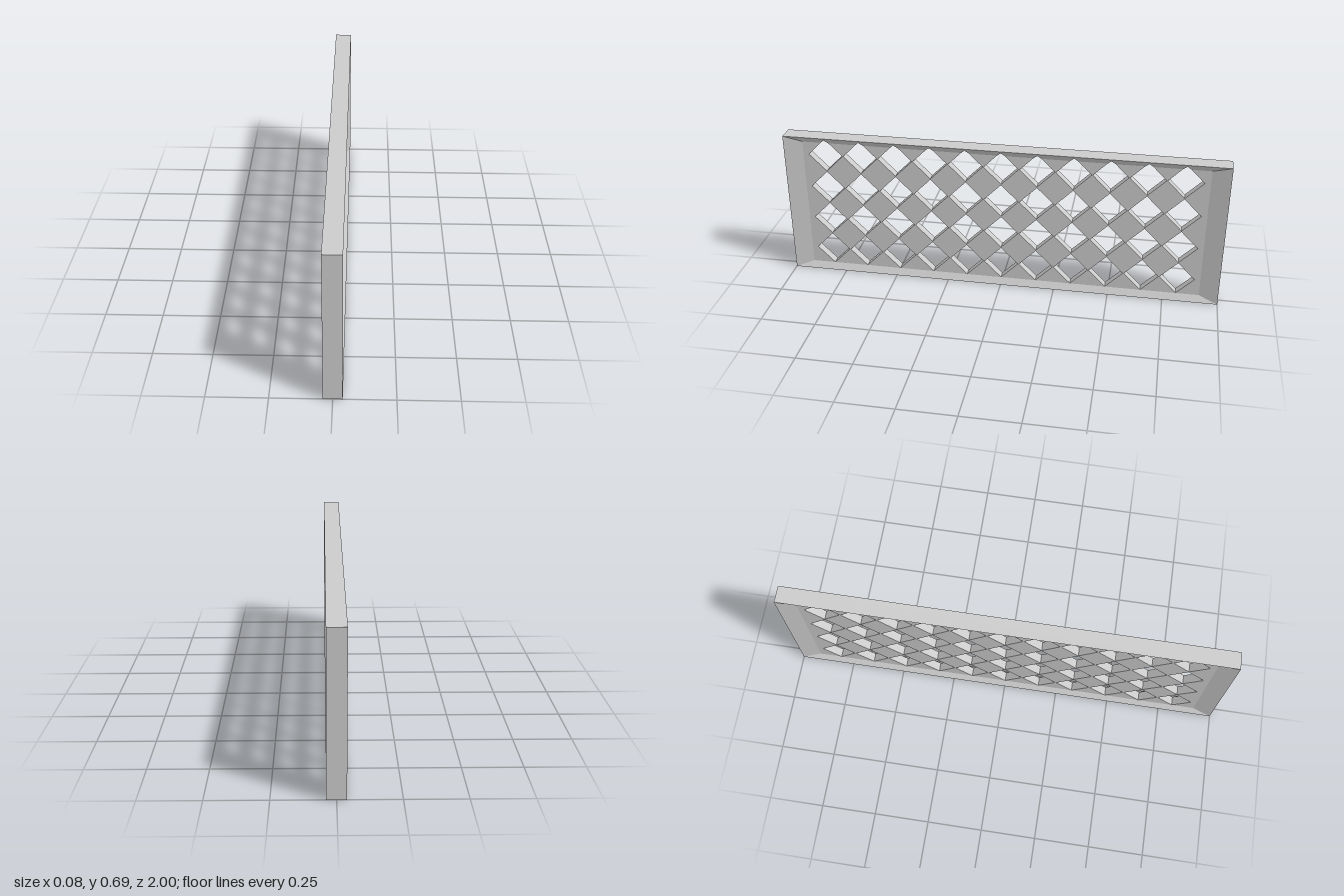
import * as THREE from 'three';

const H = 0.685;                 // panel height
const EDGE = 0.039, WEB = 0.02;  // half thickness at the rim and in the recess
const IN = 0.915, LOW = 0.03, TOP = 0.657; // recess outline
const PITCH = 0.162, S = 0.079, COLS = 11, ROWS = 4, Y0 = 0.11; // diamond openings

const material = new THREE.MeshStandardMaterial({ color: 0xcccccc, flatShading: true });

// Half thickness: flat in the recess, sloping up to the rim.
const half = (u, y) => WEB + (EDGE - WEB) * Math.max(0,
  (Math.abs(u) - IN) / (1 - IN), (y - TOP) / (H - TOP), (LOW - y) / LOW);

// A face drawn in (u = -z, y) and lifted to the surface of the +x side.
function face(name, outline, holes = []) {
  const toVec = (p) => new THREE.Vector2(p[0], p[1]);
  const shape = new THREE.Shape(outline.map(toVec));
  shape.holes = holes.map((h) => new THREE.Path(h.map(toVec)));
  const geometry = new THREE.ShapeGeometry(shape).toNonIndexed();
  const pos = geometry.attributes.position;
  for (let i = 0; i < pos.count; i++) {
    const u = pos.getX(i), y = pos.getY(i);
    pos.setXYZ(i, half(u, y), y, -u);
  }
  geometry.computeVertexNormals();
  const mesh = new THREE.Mesh(geometry, material);
  mesh.name = name;
  return mesh;
}

// Walls through the thickness along closed loops (counter-clockwise faces outward).
function walls(name, loops) {
  const v = [];
  for (const loop of loops) {
    loop.forEach((a, i) => {
      const b = loop[(i + 1) % loop.length];
      const at = (p, side) => [side * half(...p), p[1], -p[0]];
      v.push(...at(a, 1), ...at(a, -1), ...at(b, -1), ...at(a, 1), ...at(b, -1), ...at(b, 1));
    });
  }
  const geometry = new THREE.BufferGeometry();
  geometry.setAttribute('position', new THREE.Float32BufferAttribute(v, 3));
  geometry.computeVertexNormals();
  const mesh = new THREE.Mesh(geometry, material);
  mesh.name = name;
  return mesh;
}

export function createModel() {
  const model = new THREE.Group();
  model.name = 'latticePanel';

  // Diamond openings; the top row breaks into the upper slope.
  const columns = Array.from({ length: COLS }, (_, i) => (i - (COLS - 1) / 2) * PITCH);
  const yTop = Y0 + (ROWS - 1) * PITCH;
  const tip = yTop + S, n = tip - TOP;
  const holes = [], topHoles = [];
  for (const c of columns) {
    for (let r = 0; r < ROWS - 1; r++) {
      const y = Y0 + r * PITCH;
      holes.push([[c, y + S], [c + S, y], [c, y - S], [c - S, y]]);
    }
    topHoles.push([[c, tip], [c + n, TOP], [c + S, yTop], [c, yTop - S], [c - S, yTop], [c - n, TOP]]);
  }

  // One side: lattice web and four sloping borders.
  const side = new THREE.Group();
  side.name = 'latticeSide';
  const webOutline = [[-IN, LOW], [IN, LOW], [IN, TOP]];
  for (const c of [...columns].reverse()) {
    webOutline.push([c + n, TOP], [c + S, yTop], [c, yTop - S], [c - S, yTop], [c - n, TOP]);
  }
  webOutline.push([-IN, TOP]);
  const slopeOutline = [[-IN, TOP]];
  for (const c of columns) slopeOutline.push([c - n, TOP], [c, tip], [c + n, TOP]);
  slopeOutline.push([IN, TOP], [1, H], [-1, H]);
  side.add(
    face('latticeWeb', webOutline, holes),
    face('topSlope', slopeOutline),
    face('bottomSlope', [[-1, 0], [1, 0], [IN, LOW], [-IN, LOW]]),
    face('backEndSlope', [[1, 0], [1, H], [IN, TOP], [IN, LOW]]),
    face('frontEndSlope', [[-1, 0], [-IN, LOW], [-IN, TOP], [-1, H]]),
  );
  const otherSide = side.clone();
  otherSide.name = 'latticeOtherSide';
  otherSide.rotation.y = Math.PI;

  // Outer rim and the inner walls of the openings.
  model.add(
    side, otherSide,
    walls('outerRim', [[[-1, 0], [1, 0], [1, H], [-1, H]]]),
    walls('openingWalls', [...holes, ...topHoles]),
  );
  return model;
}
